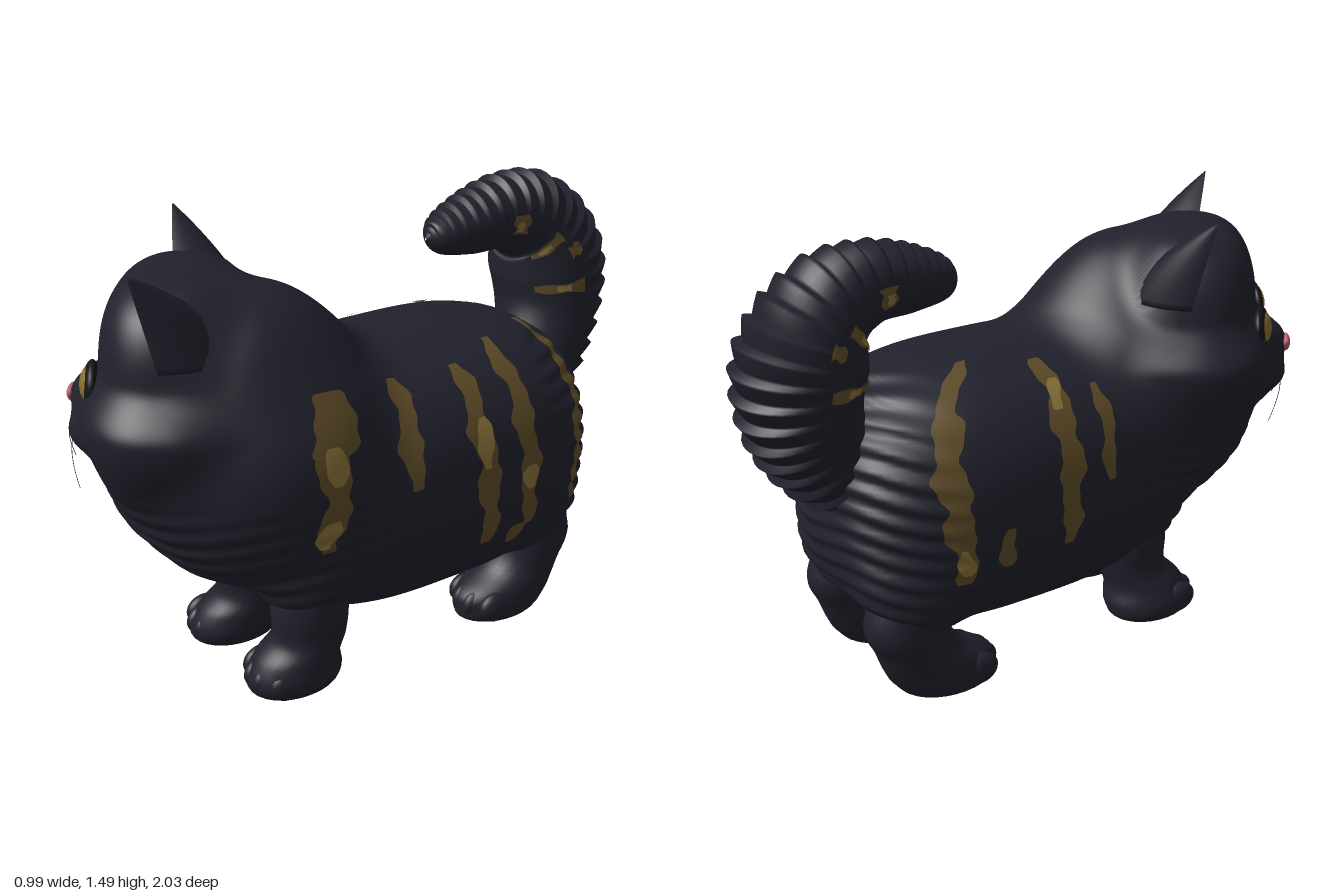
import * as THREE from 'three';
import { mergeVertices } from 'three/addons/utils/BufferGeometryUtils.js';

const V = (x, y, z) => new THREE.Vector3(x, y, z);
const paint = (name, color) => Object.assign(new THREE.MeshStandardMaterial({ color }), { name });
const fur = paint('dark fur', 0x20212c);
const bronze = paint('bronze stripe', 0x5f4c28);
const gold = paint('gold patch', 0x8c753a);
const amber = paint('amber eye', 0x86702f);
const black = paint('black rim', 0x14141a);
const pink = paint('pink nose', 0xb5626c);

// Head placement: turned towards the model's right
const HEAD = V(-0.08, 0.98, 0.63), YAW = -0.66;
const C = Math.cos(YAW), S = Math.sin(YAW);

// Move every vertex by a rule, weld, and give smooth normals
function shape(geo, rule) {
  const p = geo.attributes.position, v = V();
  for (let i = 0; i < p.count; i++) {
    const r = rule(v.fromBufferAttribute(p, i));
    p.setXYZ(i, r.x, r.y, r.z);
  }
  geo.deleteAttribute('uv');
  geo.deleteAttribute('normal');
  const g = mergeVertices(geo, 1e-5);
  g.computeVertexNormals();
  return g;
}

function add(parent, name, geo, mat, pos) {
  const m = new THREE.Mesh(geo, mat);
  m.name = name;
  if (pos) m.position.copy(pos);
  parent.add(m);
  return m;
}

const ball = (rx, ry, rz) => new THREE.SphereGeometry(1, 24, 16).scale(rx, ry, rz);

// ---- Smoothly blended body, neck and head ----
const clamp = (x) => Math.min(1, Math.max(0, x));
const ease = (x) => clamp(x) ** 2 * (3 - 2 * clamp(x));
const blend = (a, b, k) => {
  const h = Math.max(k - Math.abs(a - b), 0) / k;
  return Math.min(a, b) - h * h * k / 4;
};
function egg(x, y, z, a, b, c, p = 2, pz = p) {
  const xy = Math.pow(Math.abs(x / a), p) + Math.pow(Math.abs(y / b), p);
  const q = Math.pow(Math.pow(xy, pz / p) + Math.pow(Math.abs(z / c), pz), 1 / pz);
  return (q - 1) * Math.min(a, b, c);
}
function field(x, y, z) {
  let d = egg(x - 0.04, y - 0.63, z + 0.1, 0.45, 0.455, 0.64, 2.3, 3);      // torso
  d = blend(d, egg(x - 0.035, y - 0.8, z - 0.445, 0.45, 0.455, 0.45), 0.08); // mane
  d = blend(d, egg(x - 0.06, y - 0.985, z - 0.5, 0.32, 0.36, 0.36), 0.05);  // nape
  d = blend(d, egg(Math.abs(x - 0.03) - 0.19, y - 0.42, z + 0.5, 0.17, 0.2, 0.19), 0.06); // hips
  d = blend(d, egg(Math.abs(x - 0.055) - 0.18, y - 0.44, z - 0.41, 0.14, 0.17, 0.14), 0.06); // shoulders
  const dx = x - HEAD.x, hy = y - HEAD.y, dz = z - HEAD.z;
  const hx = dx * C - dz * S, hz = dx * S + dz * C, ax = Math.abs(hx);
  // skull: widest at the cheeks, narrower at forehead and chin
  const taper = 1 - 0.2 * ease(hy / 0.15) - 0.16 * ease(-hy / 0.3);
  d = blend(d, egg(hx, hz, hy, 0.45 * taper, 0.295 * taper, 0.405, 2.4, 3.2), 0.05);
  d = blend(d, egg(ax - 0.07, hy + 0.095, hz - 0.25, 0.11, 0.075, 0.095), 0.06); // muzzle
  d = blend(d, egg(hx, hy + 0.17, hz - 0.23, 0.085, 0.06, 0.08), 0.05);     // chin
  d = blend(d, egg(hx, hy + 0.01, hz - 0.26, 0.065, 0.07, 0.085), 0.06);    // nose bridge
  // fine waves of fur on rump and chest
  const mask = Math.max(clamp((-0.4 - z) * 6), clamp((z - 0.2) * 4) * clamp((0.8 - y) * 5));
  return d - 0.005 * mask * Math.sin(95 * y + 3 * Math.sin(9 * x) + 8 * z);
}
// Distance from an inside point to the skin along a direction
function cast(o, d) {
  let a = 0, b = 1.5;
  for (let i = 0; i < 26; i++) {
    const t = (a + b) / 2;
    if (field(o.x + d.x * t, o.y + d.y * t, o.z + d.z * t) < 0) a = t; else b = t;
  }
  return a;
}
const CORE = V(0.02, 0.72, 0.2);
const bodyGeo = () => shape(new THREE.SphereGeometry(1, 200, 160), (v) => {
  v.z *= 1.6;
  v.normalize();
  return v.multiplyScalar(cast(CORE, v)).add(CORE);
});
// Depth of the face at a head-local x, y
const faceZ = (x, y) => 0.05 + cast(
  V(HEAD.x + x * C + 0.05 * S, HEAD.y + y, HEAD.z - x * S + 0.05 * C), V(S, 0, C));

// Painted stripe: z and angle along the flank, with a ragged edge
function stripe(parent, name, mat, side, a0, a1, zs, width, lift = 0.005) {
  const geo = shape(new THREE.PlaneGeometry(1, 1, 6, 48), (v) => {
    const t = v.y + 0.5, a = a0 + (a1 - a0) * t, k = t * (zs.length - 1);
    const i = Math.min(Math.floor(k), zs.length - 2);
    const mid = zs[i] + (zs[i + 1] - zs[i]) * (k - i);
    const ragged = 0.88 + 0.18 * Math.sin(a * 17 + zs[0] * 40) + 0.1 * Math.sin(a * 37 + a0 * 9);
    const w = width * ragged * Math.pow(Math.sin(Math.PI * (0.03 + 0.94 * t)), 0.35);
    const z = mid + 0.008 * Math.sin(a * 13 + a1 * 8) - side * v.x * w;
    const o = V(0.03, 0.63, z), d = V(side * Math.cos(a), Math.sin(a), 0);
    return o.addScaledVector(d, cast(o, d) + lift);
  });
  add(parent, name, geo, mat);
}

// ---- Swept limb: rows of [x, y, z, rx, rz] ----
function sweep(rows, level) {
  const path = new THREE.CatmullRomCurve3(rows.map((r) => V(r[0], r[1], r[2])), false, 'catmullrom');
  const size = new THREE.CatmullRomCurve3(rows.map((r) => V(r[3], r[4], 0)), false, 'catmullrom');
  return (t, x, z, grow = 1, lift = 0) => {
    const c = path.getPoint(t), r = size.getPoint(t);
    const n = level ? V(0, 0, 1) : V(1, 0, 0).cross(path.getTangent(t)).normalize();
    return c.add(V(x * (r.x * grow + lift), 0, 0)).addScaledVector(n, z * (r.y * grow + lift));
  };
}

function addLeg(parent, name, xTop, xPaw, rows, toeZ) {
  const leg = new THREE.Group();
  leg.name = name;
  const full = rows.map(([y, z, rx, rz]) => [xPaw + (xTop - xPaw) * clamp(y / 0.2), y, z, rx, rz]);
  const at = sweep(full, true);
  add(leg, 'leg', shape(new THREE.CylinderGeometry(1, 1, 1, 28, 40, true), (v) => {
    const p = at(v.y + 0.5, v.x, v.z);
    p.y = Math.max(0, p.y);
    return p;
  }), fur);
  for (let i = 0; i < 4; i++) {
    const k = i - 1.5;
    add(leg, 'toe', ball(0.036, 0.056, 0.07), fur, V(xPaw + k * 0.056, 0.058, toeZ - 0.015 * k * k));
  }
  parent.add(leg);
}

function addTail(parent) {
  const at = sweep([[0.03, 0.72, -0.58, 0.16], [0.02, 0.84, -0.72, 0.17], [-0.02, 1.0, -0.8, 0.19],
    [-0.04, 1.17, -0.8, 0.2], [-0.04, 1.31, -0.72, 0.165], [-0.03, 1.36, -0.58, 0.13],
    [-0.02, 1.345, -0.42, 0.105], [-0.02, 1.325, -0.3, 0.065], [-0.02, 1.32, -0.255, 0.004]]
    .map((r) => [...r, r[3]]));
  // overlapping fur tiers on the outer side
  const tier = (t, z) => 1 + Math.max(0, -z) * (0.18 * ((t * 26) % 1) - 0.12);
  add(parent, 'tail', shape(new THREE.CylinderGeometry(1, 1, 1, 36, 208, true),
    (v) => at(v.y + 0.5, v.x, v.z, tier(v.y + 0.5, v.z))), fur);
  // patches: [position along tail, angle, length, angular width]
  const patches = [[0.33, 1.1, 0.035, 0.9, bronze], [0.33, 1.15, 0.022, 0.25, gold],
    [0.43, 1.55, 0.035, 0.25, bronze], [0.49, 1.1, 0.045, 0.75, bronze],
    [0.49, 1.05, 0.026, 0.3, gold], [0.635, 1.45, 0.055, 0.5, bronze], [0.64, 1.4, 0.025, 0.25, gold]];
  for (const side of [1, -1])
    for (const [t, a, len, wide, mat] of patches)
      add(parent, 'tailPatch', shape(new THREE.PlaneGeometry(1, 1, 10, 8), (v) => {
        const tt = t + v.y * len * (0.9 + 0.2 * Math.sin(v.x * 9 + t * 30));
        const th = side * a + v.x * wide;
        return at(tt, Math.sin(th), Math.cos(th), tier(tt, Math.cos(th)), mat === gold ? 0.009 : 0.006);
      }), mat);
}

function addHead(parent) {
  const head = new THREE.Group();
  head.name = 'face';
  head.position.copy(HEAD);
  head.rotation.y = YAW;
  parent.add(head);
  for (const s of [-1, 1]) {
    // ear: broad cone with an upright outer edge, a deep back and a hollowed front
    add(head, 'ear', shape(new THREE.ConeGeometry(1, 1, 28, 14), (v) => {
      const t = v.y + 0.5, flare = 0.165 * (1 + 0.7 * t);
      const x = s * (0.365 - flare * (1 - t)) + v.x * flare;
      return v.set(x, 0.2 + 0.29 * t, 0.07 * t + v.z * flare * (v.z > 0 ? -0.1 : 1.2));
    }), fur);

    const eye = new THREE.Group();
    eye.name = 'eye';
    eye.position.set(s * 0.15, 0.08, faceZ(s * 0.15, 0.08) - 0.006);
    eye.rotation.set(-0.12, s * 0.2, s * 0.12);
    add(eye, 'eyeRim', ball(0.086, 0.071, 0.027), black);
    add(eye, 'eyeball', ball(0.071, 0.06, 0.036), amber);
    head.add(eye);

    const lip = [[0, -0.07], [s * 0.02, -0.11], [s * 0.07, -0.13], [s * 0.13, -0.11]]
      .map(([x, y]) => V(x, y, faceZ(x, y)));
    add(head, 'mouth', new THREE.TubeGeometry(new THREE.CatmullRomCurve3(lip), 16, 0.003, 6), black);
    for (const k of [-1, 1]) {
      const y = -0.1 + k * 0.015, z = faceZ(s * 0.1, y) - 0.01;
      const hair = new THREE.QuadraticBezierCurve3(V(s * 0.1, y, z),
        V(s * 0.18, y + k * 0.02, z), V(s * 0.26, y - 0.06 + k * 0.04, z - 0.05));
      add(head, 'whisker', new THREE.TubeGeometry(hair, 10, 0.001, 4), black);
    }
  }
  add(head, 'nose', shape(ball(0.036, 0.03, 0.016), (v) => v.setX(v.x * (1 + 20 * v.y))),
    pink, V(-0.008, -0.02, faceZ(0, -0.02)));
}

export function createModel() {
  const cat = new THREE.Group();
  cat.name = 'cat';
  add(cat, 'body', bodyGeo(), fur);
  addHead(cat);
  addTail(cat);

  // Legs: rows of [y, z, rx, rz] from sole to shoulder or hip
  const front = [[0, 0.44, 0.001, 0.001], [0, 0.44, 0.1, 0.135], [0.05, 0.44, 0.135, 0.165],
    [0.12, 0.43, 0.125, 0.145], [0.19, 0.39, 0.115, 0.125], [0.3, 0.385, 0.117, 0.13], [0.45, 0.38, 0.1, 0.1]];
  const rear = [[0, -0.4, 0.001, 0.001], [0, -0.4, 0.1, 0.145], [0.05, -0.42, 0.122, 0.185],
    [0.1, -0.445, 0.12, 0.19], [0.17, -0.515, 0.115, 0.145], [0.27, -0.555, 0.12, 0.14], [0.42, -0.52, 0.11, 0.12]];
  addLeg(cat, 'frontLegLeft', 0.238, 0.215, front, 0.54);
  addLeg(cat, 'frontLegRight', -0.12, -0.17, front, 0.54);
  addLeg(cat, 'rearLegLeft', 0.235, 0.235, rear, -0.3);
  addLeg(cat, 'rearLegRight', -0.165, -0.165, rear, -0.3);

  // Flank stripes, left side then right side
  stripe(cat, 'stripe', bronze, 1, -0.1, 0.88, [0.45, 0.44, 0.44, 0.43], 0.115);
  stripe(cat, 'stripeTop', bronze, 1, 0.56, 0.9, [0.42, 0.41], 0.2, 0.004);
  stripe(cat, 'stripe', bronze, 1, 0.2, 0.96, [0.145, 0.135, 0.12], 0.09);
  stripe(cat, 'stripe', bronze, 1, -0.4, 0.95, [-0.15, -0.14, -0.12, -0.12], 0.095);
  stripe(cat, 'stripe', bronze, 1, -0.37, 1.1, [-0.32, -0.31, -0.3, -0.29], 0.092);
  stripe(cat, 'stripeSpot', bronze, 1, -0.5, -0.34, [-0.265, -0.27], 0.075);
  stripe(cat, 'stripe', bronze, 1, -0.42, 1.32, [-0.56, -0.575, -0.59, -0.57, -0.52], 0.07);
  stripe(cat, 'stripePatch', gold, 1, 0.4, 0.62, [0.44, 0.44], 0.08, 0.008);
  stripe(cat, 'stripePatch', gold, 1, -0.05, 0.17, [0.46, 0.45], 0.085, 0.008);
  stripe(cat, 'stripePatch', gold, 1, 0.2, 0.55, [-0.135, -0.125], 0.065, 0.008);
  stripe(cat, 'stripePatch', gold, 1, -0.06, 0.12, [-0.315, -0.315], 0.07, 0.008);
  stripe(cat, 'stripe', bronze, -1, -0.4, 1.3, [-0.45, -0.47, -0.49, -0.45, -0.3], 0.105);
  stripe(cat, 'stripe', bronze, -1, -0.25, 1.15, [-0.09, -0.08, -0.07, -0.06], 0.095);
  stripe(cat, 'stripe', bronze, -1, 0.15, 0.85, [0.07, 0.08, 0.09], 0.06);
  stripe(cat, 'stripeSpot', bronze, -1, -0.3, 0, [-0.32, -0.31], 0.065);
  stripe(cat, 'stripePatch', gold, -1, 0.72, 0.95, [-0.07, -0.06], 0.06, 0.008);
  stripe(cat, 'stripePatch', gold, -1, -0.32, -0.1, [-0.46, -0.46], 0.06, 0.008);
  return cat;
}
